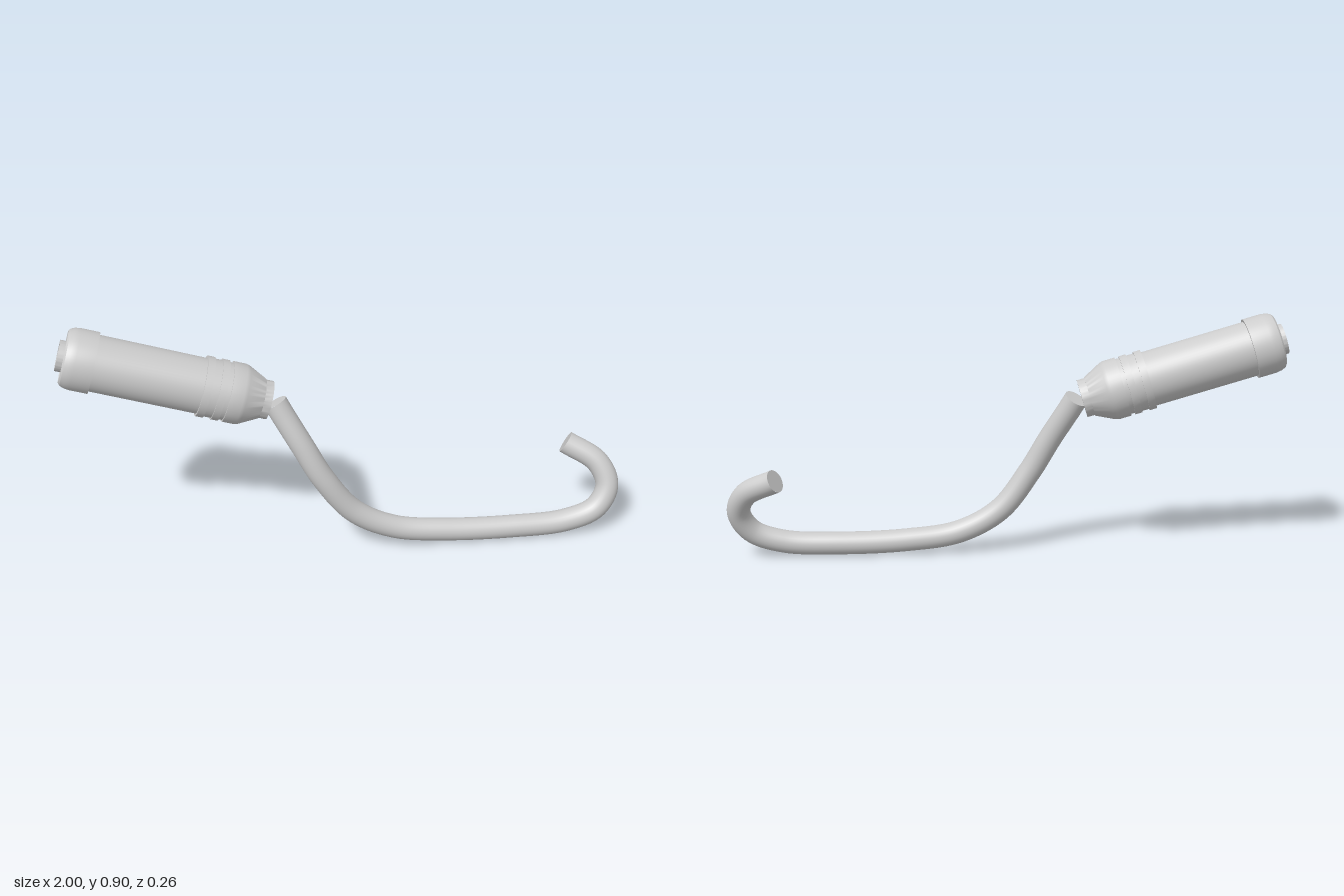
import * as THREE from 'three';
import { toCreasedNormals } from 'three/addons/utils/BufferGeometryUtils.js';

const v = (x, y, z) => new THREE.Vector3(x, y, z);

export function createModel() {
  const model = new THREE.Group();
  const grey = new THREE.MeshStandardMaterial({ color: 0xcccccc });
  grey.name = 'light grey';

  const add = (name, geometry, parent = model) => {
    const mesh = new THREE.Mesh(geometry, grey);
    mesh.name = name;
    parent.add(mesh);
    return mesh;
  };

  // Profiles are [radius, distance along the plug axis]
  const turned = (points) => toCreasedNormals(
    new THREE.LatheGeometry(points.map(([r, t]) => new THREE.Vector2(r, t)), 56), 0.5);

  // Plug: turned parts along a tilted axis
  const tip = v(-0.986, 0.813, -0.022);
  const neck = v(-0.278, 0.6, 0);
  const plug = new THREE.Group();
  plug.name = 'plug';
  plug.position.copy(tip);
  plug.quaternion.setFromUnitVectors(v(0, 1, 0), neck.clone().sub(tip).normalize());
  model.add(plug);

  // Hollow pin standing in the open end
  add('centrePin', turned([
    [0, 0.13], [0.042, 0.13], [0.042, 0], [0.054, 0], [0.054, 0.13],
  ]), plug);

  // Rounded end sleeve with a deep recess
  add('endSleeve', turned([
    [0.05, 0.12], [0.082, 0.12], [0.082, 0.026], [0.09, 0.02], [0.098, 0.026],
    [0.104, 0.04], [0.107, 0.06], [0.107, 0.124], [0.097, 0.124],
  ]), plug);

  // Grip, ribs, cone and collar
  add('plugBody', turned([
    [0.098, 0.12], [0.098, 0.497], [0.107, 0.497], [0.107, 0.523], [0.102, 0.523],
    [0.102, 0.55], [0.107, 0.55], [0.107, 0.575], [0.101, 0.575], [0.101, 0.59],
    [0.107, 0.59], [0.107, 0.635], [0.103, 0.648], [0.071, 0.712], [0.068, 0.712],
    [0.068, 0.74], [0, 0.74],
  ]), plug);

  // Cable: sweeps down from the plug, runs level, then curls back
  const path = new THREE.CatmullRomCurve3([
    v(-0.258, 0.597, 0.014), v(-0.238, 0.56, 0.025), v(-0.168, 0.436, 0.061),
    v(-0.1, 0.312, 0.082), v(0.01, 0.165, 0.086), v(0.158, 0.083, 0.086),
    v(0.35, 0.054, 0.086), v(0.6, 0.046, 0.086), v(0.8, 0.057, 0.086),
    v(0.913, 0.101, 0.079), v(0.955, 0.18, 0.055), v(0.922, 0.26, 0.016),
    v(0.81, 0.323, -0.035),
  ]);
  const radius = 0.042;
  add('cable', new THREE.TubeGeometry(path, 120, radius, 28));

  // Flat cable ends
  for (const [name, u, sign] of [['cableStartCap', 0, -1], ['cableEndCap', 1, 1]]) {
    const cap = add(name, new THREE.CircleGeometry(radius, 28));
    cap.position.copy(path.getPointAt(u));
    cap.quaternion.setFromUnitVectors(v(0, 0, 1), path.getTangentAt(u).multiplyScalar(sign));
  }

  return model;
}
